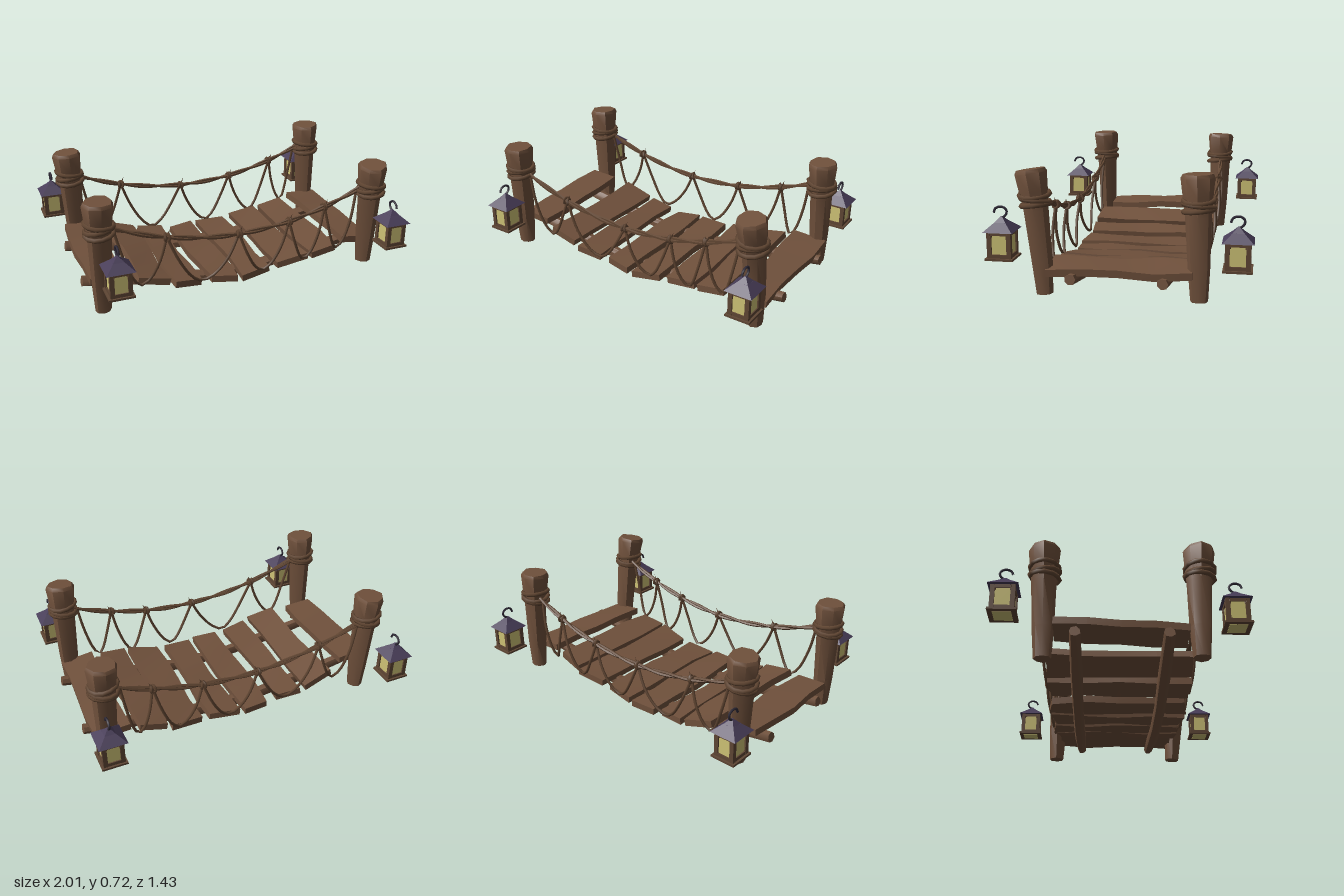
import * as THREE from 'three';
import { toCreasedNormals } from 'three/addons/utils/BufferGeometryUtils.js';

const mat = (name, color) => {
  const m = new THREE.MeshStandardMaterial({ color });
  m.name = name;
  return m;
};
const V = (x, y, z) => new THREE.Vector3(x, y, z);

// Closed limb through points, with a radius at each point
function limb(points, radii, sides, wobble = 0) {
  const pos = [], idx = [], n = points.length;
  const ref = Math.abs(points[n - 1].clone().sub(points[0]).normalize().y) > 0.8 ? V(0, 0, 1) : V(0, 1, 0);
  points.forEach((p, i) => {
    const t = points[Math.min(i + 1, n - 1)].clone().sub(points[Math.max(i - 1, 0)]).normalize();
    const u = ref.clone().cross(t).normalize(), v = t.clone().cross(u);
    for (let j = 0; j < sides; j++) {
      const a = (j / sides) * Math.PI * 2;
      const r = radii[i] * (1 + wobble * Math.sin(j * 2.4 + i * 0.5 + points[0].x * 9));
      pos.push(...p.clone().addScaledVector(u, r * Math.cos(a)).addScaledVector(v, r * Math.sin(a)).toArray());
      if (i < n - 1) {
        const k = (j + 1) % sides, s = i * sides, e = s + sides;
        idx.push(s + j, s + k, e + j, s + k, e + k, e + j);
      }
    }
  });
  pos.push(...points[0].toArray(), ...points[n - 1].toArray());
  for (let j = 0; j < sides; j++) {
    const k = (j + 1) % sides, e = (n - 1) * sides;
    idx.push(n * sides, k, j, n * sides + 1, e + j, e + k);
  }
  const g = new THREE.BufferGeometry();
  g.setAttribute('position', new THREE.Float32BufferAttribute(pos, 3));
  g.setIndex(idx);
  return toCreasedNormals(g, 0.75);
}

export function createModel() {
  const model = new THREE.Group();
  const wood = mat('wood', 0x70513c);
  const rope = mat('rope', 0x614632);
  const frame = mat('lantern frame', 0x5f4634);
  const roofMat = mat('lantern roof', 0x483d58);
  const iron = mat('iron', 0x302b38);
  const glass = mat('lantern glass', 0xcfc376);

  const add = (parent, name, geometry, material, x = 0, y = 0, z = 0) => {
    const m = new THREE.Mesh(geometry, material);
    m.name = name;
    m.position.set(x, y, z);
    parent.add(m);
    return m;
  };

  // Posts leaning outward, thicker at the head: [foot x, foot z, head x, head z]
  const posts = [
    [-0.85, 0.42, -0.845, 0.435], [0.88, 0.41, 0.857, 0.478],
    [-0.82, -0.42, -0.845, -0.43], [0.88, -0.435, 0.862, -0.42],
  ];
  posts.forEach(([fx, fz, hx, hz], i) => {
    const group = new THREE.Group();
    group.name = 'post' + (i + 1);
    model.add(group);
    const at = (y) => {
      const t = (y - 0.04) / 0.68, k = t * t * 0.6 + t * 0.4;
      return V(fx + (hx - fx) * k, y, fz + (hz - fz) * k);
    };
    const levels = [0.04, 0.22, 0.5, 0.6, 0.7, 0.72];
    add(group, 'postShaft', limb(levels.map(at), [0.048, 0.06, 0.07, 0.08, 0.09, 0.08], 8, 0.06), wood);
    // Rope binding
    [0.53, 0.555, 0.585].forEach((y, k) => {
      const c = at(y);
      const ring = add(group, 'binding', new THREE.TorusGeometry(0.082, 0.014, 5, 12), rope, c.x, c.y, c.z);
      ring.rotation.set(Math.PI / 2 + [0.12, -0.1, 0.04][k], [0.1, 0.14, -0.12][k], i + k);
    });
  });

  // Two sagging beams under the deck
  for (const z of [0.245, -0.25]) {
    const xs = [-0.93, -0.55, -0.18, 0.18, 0.55, 0.975], ys = [0.15, 0.09, 0.04, 0.04, 0.088, 0.152];
    add(model, 'deckBeam', limb(xs.map((x, i) => V(x, ys[i], z)), [0.032, 0.038, 0.035, 0.036, 0.038, 0.03], 7, 0.08), wood);
  }

  // Warped planks: x, width, y, back z, front z, roll, pitch
  const planks = [
    [-0.81, 0.2, 0.207, -0.37, 0.36, -0.04, 0.04],
    [-0.53, 0.19, 0.152, -0.42, 0.41, -0.26, 0],
    [-0.325, 0.16, 0.1, -0.415, 0.41, -0.13, 0.01],
    [-0.09, 0.175, 0.078, -0.42, 0.41, 0, -0.01],
    [0.125, 0.185, 0.082, -0.41, 0.405, 0.1, 0.01],
    [0.37, 0.195, 0.113, -0.42, 0.4, 0.14, 0],
    [0.585, 0.185, 0.147, -0.405, 0.41, 0.17, 0.01],
    [0.835, 0.205, 0.187, -0.4, 0.39, -0.08, 0.015],
  ];
  planks.forEach(([x, w, y, z0, z1, roll, pitch], i) => {
    const g = new THREE.BoxGeometry(w, 0.042, z1 - z0, 1, 1, 4);
    const p = g.attributes.position;
    for (let k = 0; k < p.count; k++) {
      const px = p.getX(k), t = p.getZ(k) / (z1 - z0);
      const side = Math.sign(px);
      p.setX(k, px + 0.009 * Math.sin(t * 6 + i * 2.1 + side));
      p.setY(k, p.getY(k) + 0.007 * Math.sin(t * 9 + i * 1.7 + side * 1.3));
      p.setZ(k, p.getZ(k) + side * t * 0.025 * Math.sin(i * 2.7));
    }
    const m = add(model, 'plank' + (i + 1), toCreasedNormals(g, 0.6), wood, x, y, (z0 + z1) / 2);
    m.rotation.set(pitch, 0, roll);
  });

  // Hand ropes: two twisted strands, knots and hanging loops
  const ropeY = (x) => 0.38 + 0.16 * (x / 0.77) ** 2;
  const deckY = (x) => 0.04 + 0.12 * (x / 0.95) ** 2;
  const sides = [
    { name: 'front', z: 0.43, knots: [-0.77, -0.46, -0.01, 0.32, 0.56, 0.78] },
    { name: 'back', z: -0.44, knots: [-0.77, -0.5, -0.08, 0.28, 0.59, 0.78] },
  ];
  for (const { name, z, knots } of sides) {
    for (const phase of [0, Math.PI]) {
      const pts = [];
      for (let i = 0; i <= 36; i++) {
        const x = -0.79 + (i / 36) * 1.59, a = i * 0.6 + phase;
        pts.push(V(x, ropeY(x) + 0.008 * Math.cos(a), z + 0.008 * Math.sin(a)));
      }
      add(model, name + 'HandRope', limb(pts, pts.map(() => 0.0095), 5), rope);
    }
    knots.slice(1, -1).forEach((x, i) => {
      for (const d of [-0.009, 0.009]) {
        const knot = add(model, name + 'Knot', new THREE.TorusGeometry(0.02, 0.009, 4, 7), rope, x + d, ropeY(x), z);
        knot.rotation.set(i, Math.PI / 2 + d * 30, 0);
      }
      const tail = add(model, name + 'KnotTail', new THREE.ConeGeometry(0.008, 0.05, 4), rope, x + 0.012, ropeY(x) + 0.025, z);
      tail.rotation.z = -0.4;
    });
    for (let i = 0; i < 5; i++) {
      const a = knots[i], b = knots[i + 1], d = b - a, m = a + d * 0.5;
      const low = deckY(m) + 0.06, out = Math.sign(z) * 0.012;
      const mix = (y, t) => y + (low - y) * t;
      const curve = new THREE.CatmullRomCurve3([
        V(a, ropeY(a), z), V(a + d * 0.16, mix(ropeY(a), 0.5), z + out), V(a + d * 0.35, mix(ropeY(a), 0.88), z),
        V(m, low, z - out),
        V(a + d * 0.65, mix(ropeY(b), 0.88), z), V(a + d * 0.84, mix(ropeY(b), 0.5), z + out), V(b, ropeY(b), z),
      ]);
      add(model, name + 'HangingRope', new THREE.TubeGeometry(curve, 16, 0.009, 5), rope);
    }
  }

  // Lanterns: x, base y, z
  const lanterns = [[-0.8, 0.245, 0.627], [0.92, 0.24, 0.627], [-0.93, 0.235, -0.628], [0.914, 0.232, -0.635]];
  lanterns.forEach(([x, y, z], i) => {
    const g = new THREE.Group();
    g.name = 'lantern' + (i + 1);
    g.position.set(x, y, z);
    model.add(g);
    add(g, 'lanternBase', new THREE.BoxGeometry(0.148, 0.012, 0.154), frame, 0, 0.006, 0);
    add(g, 'bottomPane', new THREE.BoxGeometry(0.095, 0.004, 0.1), glass, 0, -0.001, 0);
    add(g, 'glassPanes', new THREE.BoxGeometry(0.108, 0.15, 0.116), glass, 0, 0.085, 0);
    // Corner bars and rails around the panes
    for (const sx of [-1, 1]) {
      for (const sz of [-1, 1]) {
        add(g, 'cornerBar', new THREE.BoxGeometry(0.025, 0.15, 0.025), frame, sx * 0.05, 0.085, sz * 0.054);
        const brace = add(g, 'cornerBrace', new THREE.BoxGeometry(0.03, 0.03, 0.03), frame, sx * 0.042, 0.14, sz * 0.046);
        brace.rotation.y = Math.PI / 4;
      }
    }
    for (const ry of [0.02, 0.148]) add(g, 'rail', new THREE.BoxGeometry(0.122, 0.024, 0.13), frame, 0, ry, 0);
    // Flared four-sided roof
    const roof = new THREE.CylinderGeometry(0.045, 0.116, 0.045, 4).rotateY(Math.PI / 4);
    add(g, 'roofEave', toCreasedNormals(roof, 0.3), roofMat, 0, 0.178, 0);
    const tip = new THREE.CylinderGeometry(0.006, 0.045, 0.03, 4).rotateY(Math.PI / 4);
    add(g, 'roofTip', toCreasedNormals(tip, 0.3), roofMat, 0, 0.215, 0);
    // Hook
    const hook = new THREE.CatmullRomCurve3([
      V(0, 0.22, 0), V(0, 0.24, -0.025), V(0, 0.265, -0.03), V(0, 0.283, -0.005), V(0, 0.275, 0.03), V(0, 0.25, 0.042),
    ]);
    add(g, 'hook', new THREE.TubeGeometry(hook, 12, 0.007, 5), iron);
  });

  // Rest on the ground, centred
  const box = new THREE.Box3().setFromObject(model);
  const c = box.getCenter(V(0, 0, 0));
  for (const child of model.children) child.position.sub(V(c.x, box.min.y, c.z));
  return model;
}
